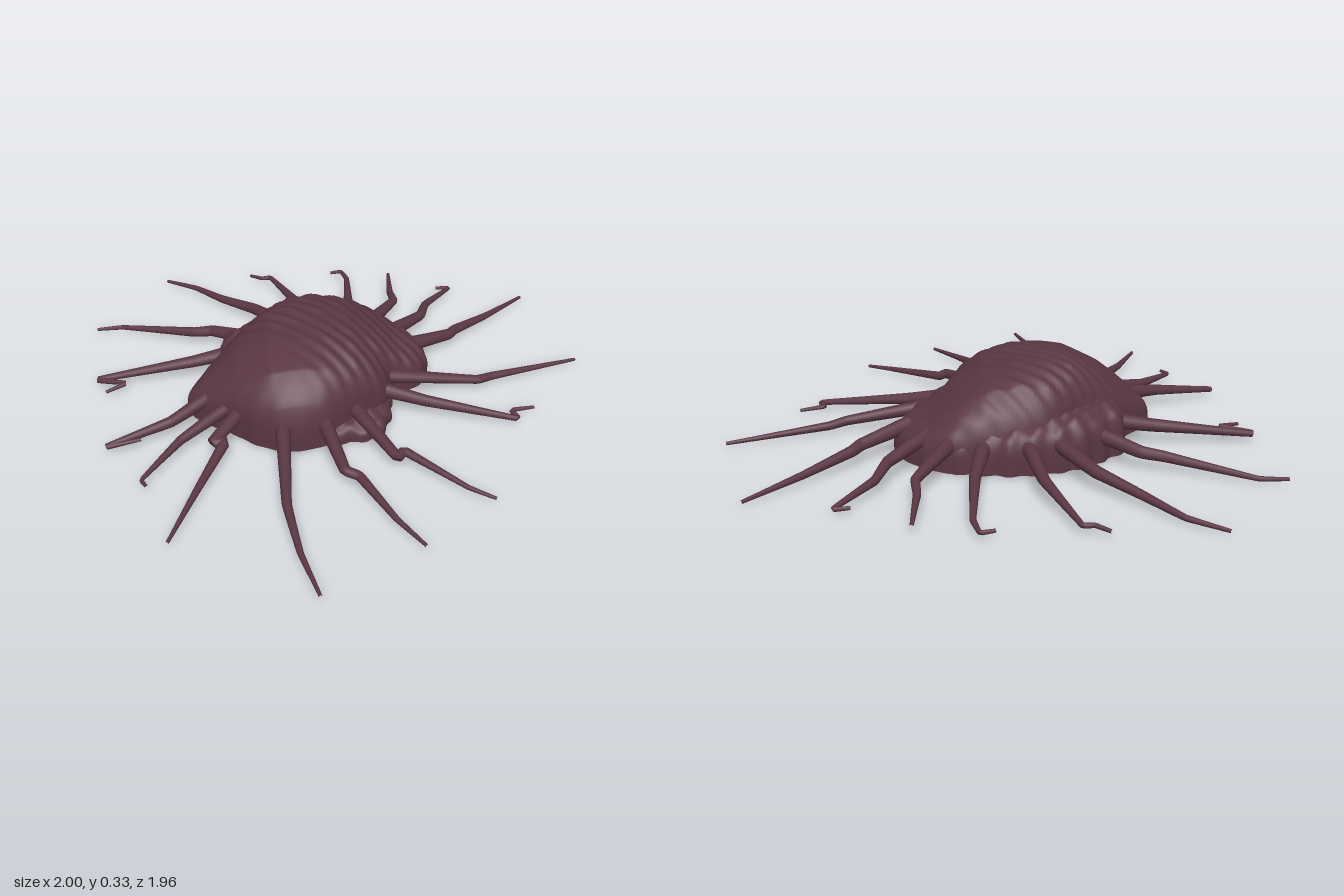
import * as THREE from 'three';

// Height of the back along x and along z, as [position, height]
const PEAK = 0.328;
const ALONG_X = [[-0.62, 0.11], [-0.5, 0.19], [-0.4, 0.26], [-0.27, 0.32], [-0.18, PEAK], [-0.06, 0.322], [0.05, 0.29], [0.15, 0.23], [0.25, 0.16], [0.4, 0.11]];
const ALONG_Z = [[-0.54, 0.17], [-0.47, 0.25], [-0.4, 0.31], [-0.25, PEAK], [-0.05, 0.322], [0.1, 0.295], [0.2, 0.24], [0.25, 0.17]];

// Outlines seen from above, as [x, z]
const SHELL = [[-0.6, -0.05], [-0.555, -0.13], [-0.46, -0.23], [-0.32, -0.35], [-0.16, -0.47], [0.03, -0.5], [0.19, -0.49],
  [0.325, -0.39], [0.38, -0.25], [0.33, -0.13], [0.22, -0.07], [0.17, 0.05], [0.04, 0.14], [-0.1, 0.22], [-0.22, 0.232], [-0.33, 0.19], [-0.43, 0.11], [-0.54, 0.03]];
const SKIRT = [[-0.52, -0.08], [-0.47, -0.24], [-0.47, -0.33], [-0.4, -0.4], [-0.29, -0.48], [-0.07, -0.53], [0.03, -0.52], [0.18, -0.49],
  [0.31, -0.39], [0.36, -0.265], [0.32, -0.14], [0.22, -0.06], [0.185, 0.09], [0.13, 0.18], [0, 0.205], [-0.18, 0.2], [-0.4, 0.09]];

// Leg paths from the body to the tip, as [x, z]
const LEGS = [
  [[-0.21, -0.48], [-0.32, -0.64], [-0.46, -0.77], [-0.58, -0.9], [-0.71, -0.98]],
  [[-0.1, -0.48], [-0.14, -0.69], [-0.24, -0.945], [-0.28, -0.945], [-0.33, -0.98]],
  [[0.05, -0.46], [0.09, -0.66], [0.105, -0.9], [0.085, -0.975], [0.035, -0.965]],
  [[0.17, -0.46], [0.29, -0.66], [0.285, -0.75], [0.3, -0.93]],
  [[0.25, -0.38], [0.39, -0.53], [0.43, -0.64], [0.56, -0.795], [0.5, -0.795]],
  [[0.32, -0.28], [0.49, -0.38], [0.52, -0.42], [0.68, -0.55], [0.87, -0.71]],
  [[0.18, -0.075], [0.56, -0.095], [0.63, -0.125], [1, -0.23]],
  [[0.14, 0.0], [0.33, 0.055], [0.68, 0.14], [0.665, 0.09], [0.76, 0.07]],
  [[0.04, 0.11], [0.18, 0.36], [0.21, 0.33], [0.42, 0.51], [0.515, 0.57]],
  [[-0.08, 0.18], [-0.02, 0.42], [0.03, 0.45], [0.14, 0.65], [0.23, 0.78]],
  [[-0.235, 0.19], [-0.24, 0.56], [-0.205, 0.78], [-0.15, 0.975]],
  [[-0.38, 0.08], [-0.5, 0.235], [-0.455, 0.24], [-0.56, 0.46], [-0.66, 0.69]],
  [[-0.42, 0.05], [-0.62, 0.2], [-0.76, 0.375], [-0.74, 0.415]],
  [[-0.5, -0.01], [-0.66, 0.1], [-0.905, 0.185], [-0.77, 0.17]],
  [[-0.43, -0.28], [-0.58, -0.27], [-0.97, -0.25], [-0.85, -0.2], [-0.93, -0.16]],
  [[-0.34, -0.38], [-0.5, -0.49], [-0.58, -0.505], [-0.89, -0.62], [-1, -0.62]],
];

function sample(table, v) {
  if (v <= table[0][0]) return table[0][1];
  for (let i = 1; i < table.length; i++) {
    const [x1, y1] = table[i], [x0, y0] = table[i - 1];
    if (v <= x1) return THREE.MathUtils.lerp(y0, y1, (v - x0) / (x1 - x0));
  }
  return table[table.length - 1][1];
}

// Closed dome: rings shrink from the outline to its centre, with a flat underside
function dome(outline, height, power, scallop) {
  const N = 180, RINGS = 64, cx = -0.1, cz = -0.14;
  const curve = new THREE.CatmullRomCurve3(outline.map(([x, z]) => new THREE.Vector3(x, 0, z)), true);
  const rim = curve.getSpacedPoints(N).slice(0, N);
  const pos = [], index = [];
  for (let i = 0; i <= RINGS; i++) {
    const s = 1 - (i / RINGS) ** 2;
    const rise = Math.pow(1 - Math.pow(s, power), 1 / power);
    rim.forEach((p, j) => {
      const wave = 1 + scallop * Math.sin((j / N) * Math.PI * 2 * 28) * s * s;
      const x = cx + (p.x - cx) * s * wave, z = cz + (p.z - cz) * s * wave;
      pos.push(x, rise * height(x, z), z);
      if (i < RINGS) {
        const a = i * N + j, b = i * N + (j + 1) % N;
        index.push(a, a + N, b, b, a + N, b + N);
      }
    });
  }
  const base = pos.length / 3;
  for (let j = 0; j < N; j++) {
    pos.push(pos[j * 3], 0, pos[j * 3 + 2]);
    index.push(base + N, base + j, base + (j + 1) % N);
  }
  pos.push(cx, 0, cz);
  const geo = new THREE.BufferGeometry();
  geo.setAttribute('position', new THREE.Float32BufferAttribute(pos, 3));
  geo.setIndex(index);
  geo.computeVertexNormals();
  return geo;
}

// Back with ridges running across the body; the head end stays smooth
function shellHeight(x, z) {
  const u = (x - z) * Math.SQRT1_2, v = (x + z) * Math.SQRT1_2;
  const fade = THREE.MathUtils.smoothstep(u, -0.22, -0.02);
  const ridge = Math.sin((u + 0.25 * v * v) * Math.PI * 2 / 0.058) * (0.003 + 0.02 * Math.abs(v + 0.17));
  const a = sample(ALONG_X, x) / PEAK, b = sample(ALONG_Z, z) / PEAK;
  return PEAK * Math.pow(a ** -3 + b ** -3 - 1, -1 / 3) + ridge * fade;
}

// Lumpy lower body, taller towards the back right
function skirtHeight(x, z) {
  const v = (x + z) * Math.SQRT1_2;
  return 0.15 - 0.2 * (v + 0.17) + 0.009 * Math.sin(x * 75) * Math.sin(z * 75);
}

// Tube that thins towards its tip and sinks to the ground
function legGeometry(points) {
  const SEG = 64, SIDES = 10, [x0, z0] = points[0];
  const path = new THREE.CatmullRomCurve3(points.map(([x, z]) => {
    const far = Math.hypot(x - x0, z - z0) / 0.7;
    return new THREE.Vector3(x, 0.014 + 0.088 * Math.pow(Math.max(0, 1 - far), 1.5), z);
  }), false, 'catmullrom', 0.08);
  const geo = new THREE.TubeGeometry(path, SEG, 0.031, SIDES);
  const p = geo.attributes.position, v = new THREE.Vector3();
  for (let i = 0; i <= SEG; i++) {
    const c = path.getPointAt(i / SEG), taper = 1 - 0.79 * Math.pow(i / SEG, 0.85);
    for (let j = 0; j <= SIDES; j++) {
      const k = i * (SIDES + 1) + j;
      v.fromBufferAttribute(p, k).sub(c).multiplyScalar(taper).add(c);
      p.setXYZ(k, v.x, Math.max(v.y, 0.002), v.z);
    }
  }
  return geo;
}

export function createModel() {
  const model = new THREE.Group();
  model.name = 'shelledCrawler';
  const hide = new THREE.MeshStandardMaterial({ color: 0x5a3743 });
  hide.name = 'dark plum';

  const add = (name, geo, parent = model) => {
    const mesh = new THREE.Mesh(geo, hide);
    mesh.name = name;
    parent.add(mesh);
  };

  add('shell', dome(SHELL, shellHeight, 4.5, 0.004));
  add('lowerBody', dome(SKIRT, skirtHeight, 4, 0.016));

  const legs = new THREE.Group();
  legs.name = 'legs';
  LEGS.forEach((points, i) => add(`leg${i + 1}`, legGeometry(points), legs));
  model.add(legs);
  return model;
}
